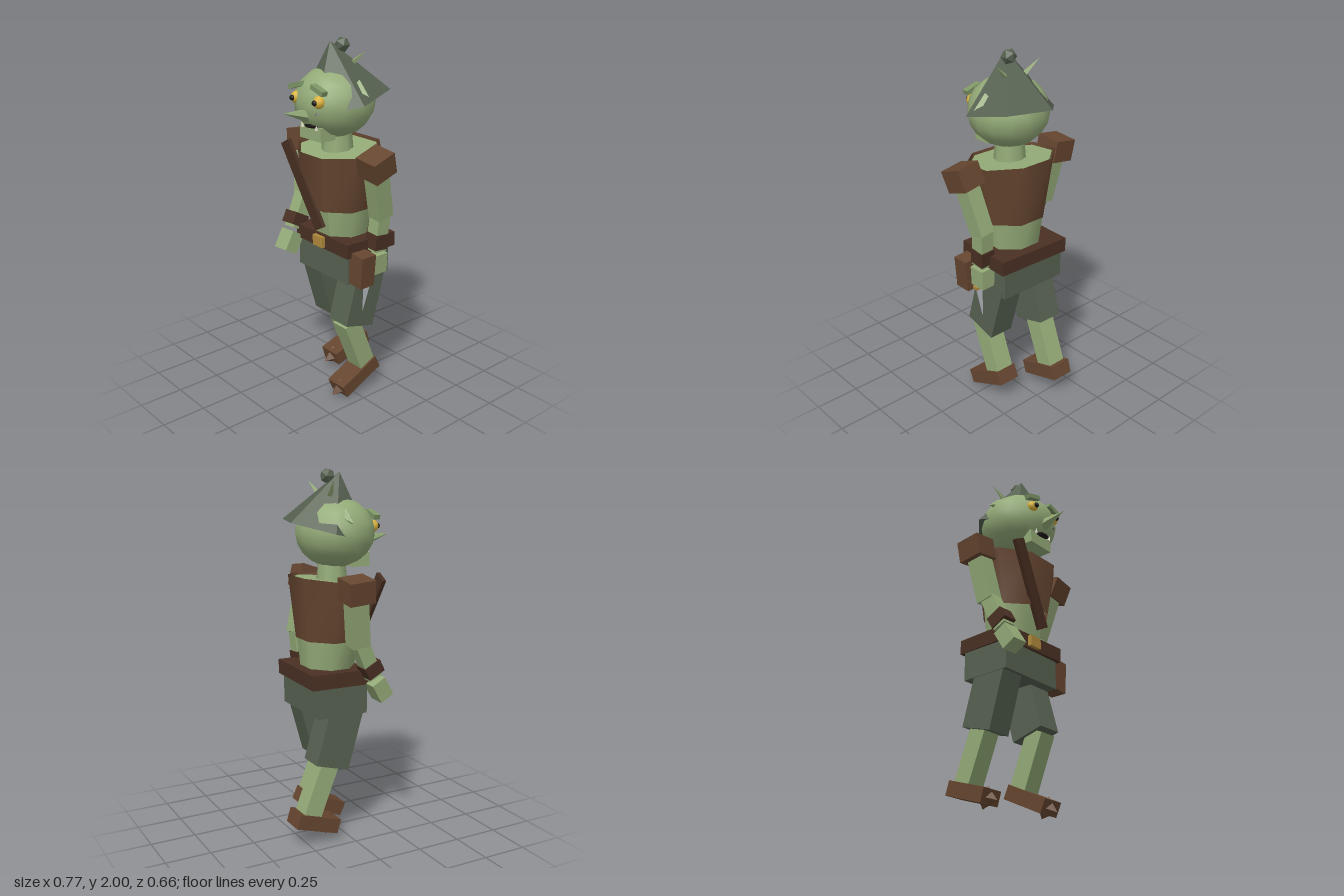
import * as THREE from 'three';

const COLORS = {
  skin: 0x94ab78, brow: 0x7d9666, cloth: 0x566150, leather: 0x664630, belt: 0x4a3023,
  gold: 0xb08a3c, eye: 0xd9b23c, black: 0x1a1614, bone: 0xe4dfcc, steel: 0xb4b9be,
};
const mats = {};
function material(color, flat = true) {
  const key = color + flat;
  mats[key] ??= new THREE.MeshStandardMaterial({ color: COLORS[color], flatShading: flat });
  return mats[key];
}

export function createModel() {
  const model = new THREE.Group();
  model.name = 'goblin';
  const up = new THREE.Vector3(0, 1, 0);

  function add(name, geometry, color, pos, rot = [0, 0, 0], flat = true, parent = model) {
    const mesh = new THREE.Mesh(geometry, material(color, flat));
    mesh.name = name;
    mesh.position.set(...pos);
    mesh.rotation.set(...rot);
    parent.add(mesh);
    return mesh;
  }
  const box = (name, color, size, pos, rot, parent) =>
    add(name, new THREE.BoxGeometry(...size), color, pos, rot, true, parent);

  // Cone whose base centre and tip are given
  function spike(name, color, radius, base, tip, sides = 5, yaw = 0) {
    const a = new THREE.Vector3(...base), b = new THREE.Vector3(...tip);
    const geometry = new THREE.ConeGeometry(radius, a.distanceTo(b), sides).rotateY(yaw);
    const mesh = add(name, geometry, color, a.clone().add(b).multiplyScalar(0.5).toArray());
    mesh.quaternion.setFromUnitVectors(up, b.sub(a).normalize());
    return mesh;
  }

  // Square limb running from a (upper end) to b (lower end)
  function limb(name, color, a, b, width, depth) {
    const p = new THREE.Vector3(...a), q = new THREE.Vector3(...b);
    const mesh = box(name, color, [width, p.distanceTo(q), depth],
      p.clone().add(q).multiplyScalar(0.5).toArray());
    mesh.quaternion.setFromUnitVectors(up, p.sub(q).normalize());
    return mesh;
  }

  // Eight-sided trunk section, flat towards the sides, its top sloping down to the front
  function trunk(name, color, top, bottom, y0, y1, open) {
    const g = new THREE.CylinderGeometry(1, 1, 1, 8, 1, open).rotateY(Math.PI / 8);
    const p = g.attributes.position, k = 1 / Math.cos(Math.PI / 8);
    for (let i = 0; i < p.count; i++) {
      const isTop = p.getY(i) > 0;
      const [rx, rz, cz] = isTop ? top : bottom;
      const z = p.getZ(i) * k * rz;
      p.setXYZ(i, p.getX(i) * k * rx, isTop ? y1 - 0.09 * z : y0, z + cz);
    }
    g.computeVertexNormals();
    return add(name, g, color, [0, 0, 0], [0, 0, 0], false);
  }

  // Head and neck
  const head = add('head', new THREE.SphereGeometry(0.215, 14, 10), 'skin', [-0.005, 1.67, 0], [0, 0, 0], false);
  head.scale.y = 0.87;
  add('neck', new THREE.CylinderGeometry(0.075, 0.088, 0.14, 8), 'skin', [0, 1.46, -0.015], [0, 0, 0], false);
  box('jaw', 'skin', [0.17, 0.075, 0.1], [-0.005, 1.525, 0.115]);
  spike('nose', 'skin', 0.037, [-0.003, 1.62, 0.18], [-0.01, 1.65, 0.333], 5);
  const mouth = add('mouth', new THREE.SphereGeometry(1, 10, 6), 'black', [0.005, 1.565, 0.152], [0, 0, 0.1], false);
  mouth.scale.set(0.06, 0.015, 0.038);
  for (const s of [-1, 1]) {
    const x = s * 0.09 - 0.005;
    add('eye', new THREE.SphereGeometry(0.033, 12, 8), 'eye', [x, 1.7, 0.178], [0, 0, 0], false);
    add('pupil', new THREE.SphereGeometry(0.015, 8, 6), 'black', [x, 1.7, 0.208], [0, 0, 0], false);
    box('eyebrow', 'brow', [0.095, 0.025, 0.036], [x, 1.762, 0.18], [0, 0, -s * 0.3]);
    spike('tooth', 'bone', 0.011, [s * 0.055, 1.55, 0.172], [s * 0.06, 1.58, 0.178], 4);
    spike('ear', 'skin', 0.04, [s * 0.15, 1.765, -0.02], [s * 0.24, 1.725, -0.017], 4);
    spike('horn', 'skin', 0.022, [s * 0.04, 1.845, -0.05], [s * 0.143, 1.937, -0.083], 4);
  }

  // Crooked six-sided hat with its bobble
  spike('hat', 'cloth', 0.25, [0.016, 1.68, -0.041], [-0.01, 1.98, 0.026], 6, 0.25);
  add('hatBobble', new THREE.IcosahedronGeometry(0.042, 0), 'cloth', [0.02, 1.959, -0.03]);

  // Trunk, open vest and shoulder strap
  trunk('torso', 'skin', [0.225, 0.185, -0.025], [0.145, 0.13, -0.045], 0.92, 1.415, false);
  const vest = trunk('vest', 'leather', [0.24, 0.2, -0.027], [0.183, 0.168, -0.027], 1.105, 1.427, true);
  vest.material = new THREE.MeshStandardMaterial({ color: COLORS.leather, side: THREE.DoubleSide });
  box('shoulderStrap', 'belt', [0.075, 0.505, 0.022], [-0.085, 1.222, 0.152], [0.08, 0, 0.5]);

  // Belt and shorts
  box('belt', 'belt', [0.445, 0.08, 0.335], [0.008, 0.913, -0.065], [0, -0.03, 0]);
  box('buckle', 'gold', [0.08, 0.06, 0.03], [-0.005, 0.913, 0.108]);
  box('hips', 'cloth', [0.412, 0.18, 0.295], [0, 0.803, -0.06]);

  // Legs: the left one steps forward, the right one trails
  const legs = [
    { x: 0.135, hip: [0.787, -0.095], cuff: [0.44, 0], knee: [0.46, 0.035], ankle: [0.12, -0.1],
      foot: [0.103, -0.028], tilt: 0.43, length: 0.27 },
    { x: -0.13, hip: [0.77, -0.022], cuff: [0.43, -0.12], knee: [0.46, -0.115], ankle: [0.13, -0.245],
      foot: [0.118, -0.197], tilt: 0.3, length: 0.255 },
  ];
  for (const l of legs) {
    limb('shortsLeg', 'cloth', [l.x, ...l.hip], [l.x, ...l.cuff], 0.146, 0.198);
    limb('shin', 'skin', [l.x, ...l.knee], [l.x, ...l.ankle], 0.108, 0.105);
    const foot = new THREE.Group();
    foot.name = 'foot';
    foot.position.set(l.x, ...l.foot);
    foot.rotation.x = l.tilt;
    model.add(foot);
    box('shoe', 'leather', [0.13, 0.08, l.length], [0, 0, 0], [0, 0, 0], foot);
    add('toePoint', new THREE.ConeGeometry(0.06, 0.085, 4), 'leather',
      [0, -0.008, l.length / 2 + 0.008], [Math.PI / 2, 0, 0], true, foot);
  }

  // Left arm, hanging back
  box('leftPauldron', 'leather', [0.135, 0.12, 0.145], [0.31, 1.39, -0.01], [0.33, 0, -0.15]);
  limb('leftUpperArm', 'skin', [0.305, 1.4, -0.005], [0.262, 1.085, -0.095], 0.085, 0.1);
  limb('leftForearm', 'skin', [0.262, 1.13, -0.095], [0.247, 0.89, -0.075], 0.075, 0.08);
  box('leftBracer', 'belt', [0.085, 0.085, 0.09], [0.25, 0.945, -0.08], [-0.1, 0, -0.06]);
  box('leftHand', 'skin', [0.085, 0.11, 0.095], [0.245, 0.82, -0.075], [0, 0, -0.05]);

  // Right arm, reaching forward
  box('rightPauldron', 'leather', [0.135, 0.12, 0.145], [-0.31, 1.4, -0.04], [-0.08, 0, 0.15]);
  limb('rightUpperArm', 'skin', [-0.3, 1.4, -0.04], [-0.25, 1.1, 0.005], 0.09, 0.1);
  limb('rightForearm', 'skin', [-0.25, 1.15, -0.005], [-0.238, 0.92, 0.1], 0.078, 0.08);
  box('rightBracer', 'belt', [0.092, 0.07, 0.1], [-0.243, 0.968, 0.086], [-0.5, 0, 0.06]);
  box('rightHand', 'skin', [0.1, 0.115, 0.085], [-0.235, 0.85, 0.14], [-0.53, 0, 0.05]);

  // Pouch and dagger on the left hip
  box('pouch', 'leather', [0.1, 0.18, 0.095], [0.257, 0.81, 0.032], [0, 0, -0.08]);
  box('daggerGrip', 'belt', [0.026, 0.12, 0.026], [0.245, 0.79, -0.028], [0, 0, -0.13]);
  box('daggerGuard', 'gold', [0.06, 0.018, 0.04], [0.237, 0.733, -0.028], [0, 0, -0.13]);
  spike('daggerBlade', 'steel', 0.024, [0.235, 0.725, -0.027], [0.206, 0.52, -0.022], 4);

  return model;
}
